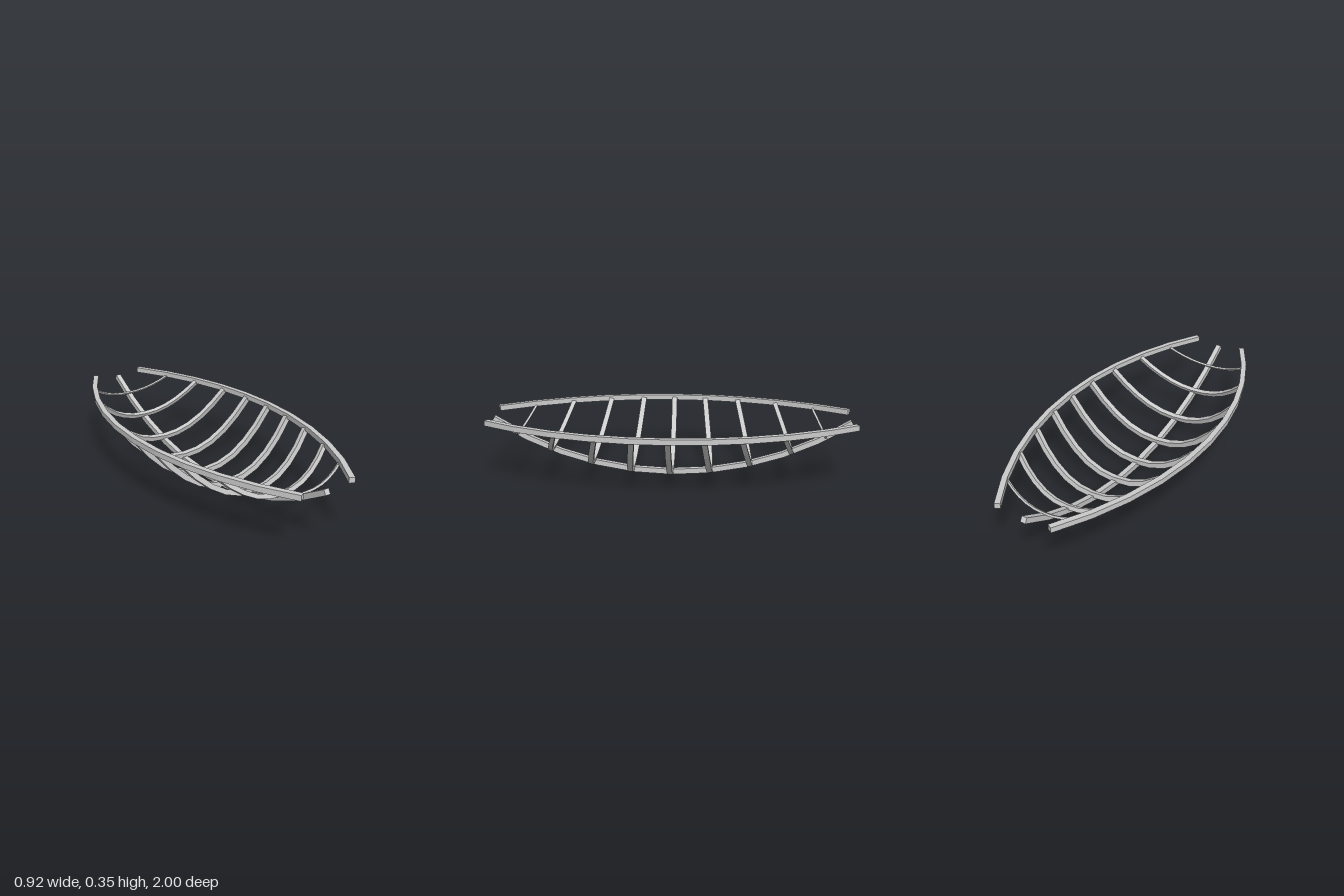
import * as THREE from 'three';

const material = new THREE.MeshStandardMaterial({ color: 0xcccccc, flatShading: true });
const SEGMENTS = 10;

// Square-section bar following a planar path, with mitred joints
function bar(name, path, thickness, depth) {
  const inner = [], outer = [];
  path.forEach((p, i) => {
    const before = path[Math.max(i - 1, 0)], after = path[Math.min(i + 1, path.length - 1)];
    const a = p.clone().sub(before).normalize();
    const b = after.clone().sub(p).normalize();
    const t = a.clone().add(b).normalize();
    const cosHalf = Math.max(t.dot(a), t.dot(b));
    const n = new THREE.Vector2(-t.y, t.x).multiplyScalar(thickness / 2 / cosHalf);
    inner.push(p.clone().add(n));
    outer.push(p.clone().sub(n));
  });
  const shape = new THREE.Shape([...outer, ...inner.reverse()]);
  const geometry = new THREE.ExtrudeGeometry(shape, { depth, bevelEnabled: false });
  geometry.translate(0, 0, -depth / 2);
  const mesh = new THREE.Mesh(geometry, material);
  mesh.name = name;
  return mesh;
}

// Circular arc through (-half, sag), (0, 0), (half, sag)
const arcRadius = (half, sag) => (half * half + sag * sag) / (2 * sag);
function arc(half, sag) {
  const r = arcRadius(half, sag), limit = Math.asin(half / r);
  return Array.from({ length: SEGMENTS + 1 }, (_, i) => {
    const a = limit * (2 * i / SEGMENTS - 1);
    return new THREE.Vector2(r * Math.sin(a), r * (1 - Math.cos(a)));
  });
}

export function createModel() {
  const model = new THREE.Group();
  model.name = 'boatFrame';

  // Keel: arc in the side plane
  const keelHalf = 0.99, keelSag = 0.297, keelBase = 0.015;
  const keel = bar('keel', arc(keelHalf, keelSag), 0.03, 0.03);
  keel.rotation.y = -Math.PI / 2;
  keel.position.y = keelBase;
  model.add(keel);

  // Gunwales: level arcs, mirrored left and right
  const railHalf = 0.993, railSag = 0.293, railX = 0.445, railY = 0.33;
  const railR = arcRadius(railHalf, railSag);
  for (const side of [1, -1]) {
    const path = arc(railHalf, railSag).map(p => new THREE.Vector2(side * (railX - p.y), p.x));
    if (side > 0) path.reverse();
    const rail = bar(side > 0 ? 'leftGunwale' : 'rightGunwale', path, 0.03, 0.03);
    rail.rotation.x = Math.PI / 2;
    rail.position.y = railY;
    model.add(rail);
  }

  // Ribs: stand square to the keel and thin out towards the ends
  const keelR = arcRadius(keelHalf, keelSag);
  const sizes = [0.03, 0.03, 0.028, 0.024, 0.012];
  const stations = [0, 0.22, 0.44, 0.665, 0.85];
  const spread = [0, 0.22, 0.43, 0.63, 0.82, 1];
  for (let k = -4; k <= 4; k++) {
    const size = sizes[Math.abs(k)];
    const angle = Math.sign(k) * Math.asin(stations[Math.abs(k)] / keelR);
    const r = keelR - 0.02;
    const y = keelBase + keelR - r * Math.cos(angle);
    const z = r * Math.sin(angle);
    const height = (0.322 - y) / Math.cos(angle);
    const topZ = z - height * Math.sin(angle);
    const half = railX - railR + Math.sqrt(railR * railR - topZ * topZ) - 0.008;
    const right = spread.map(u => new THREE.Vector2(u * half, height * Math.pow(u, 2.2)));
    const left = right.slice(1).reverse().map(p => new THREE.Vector2(-p.x, p.y));
    const rib = bar('rib' + (k + 5), [...left, ...right], size, size);
    rib.rotation.x = -angle;
    rib.position.set(0, y, z);
    model.add(rib);
  }
  return model;
}
